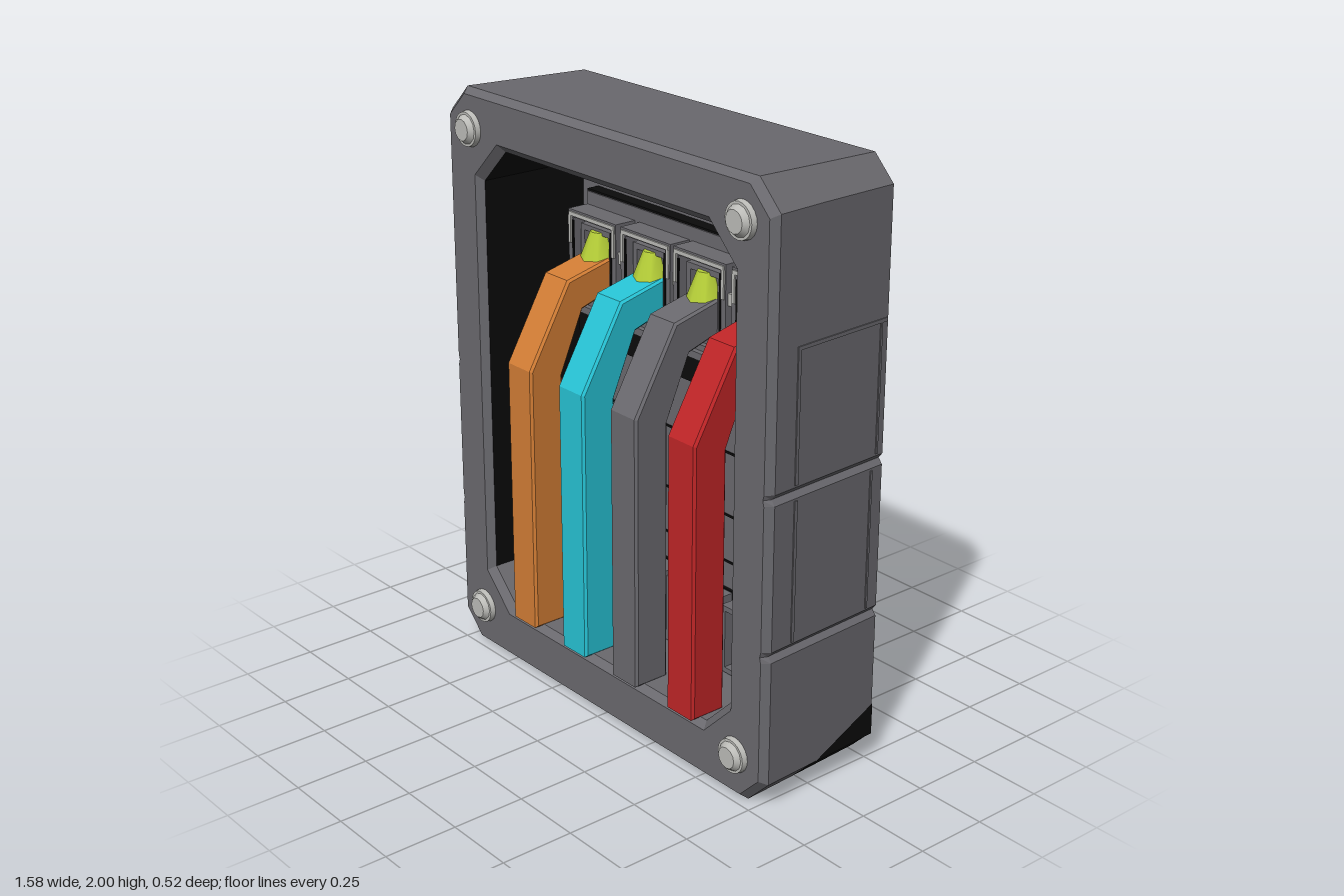
import * as THREE from 'three';

const mat = (name, color) => {
  const m = new THREE.MeshStandardMaterial({ color });
  m.name = name;
  return m;
};

export function createModel() {
  const model = new THREE.Group();
  const grey = mat('casing grey', 0x6a696e);
  const black = mat('black', 0x0b0b0b);
  const steel = mat('pale steel', 0xbcbcb8);
  const lime = mat('lime', 0xb6cf38);
  const orange = mat('orange', 0xd27d35);
  const cyan = mat('cyan', 0x27c3d5);
  const red = mat('red', 0xbf2527);

  const add = (name, geo, material, x = 0, y = 0, z = 0, parent = model) => {
    const m = new THREE.Mesh(geo, material);
    m.name = name;
    m.position.set(x, y, z);
    parent.add(m);
    return m;
  };
  // box given by its extents
  const box = (name, material, x0, x1, y0, y1, z0, z1, parent = model) =>
    add(name, new THREE.BoxGeometry(x1 - x0, y1 - y0, z1 - z0), material,
      (x0 + x1) / 2, (y0 + y1) / 2, (z0 + z1) / 2, parent);

  // Casing: chamfered rings lofted from the back, round the rim, into the recess
  const ring = (w, y0, y1, c, z, n = 0) => {
    const half = [[w - c, y0], [w, y0 + c]];
    for (const y of [0.53, 1.045]) half.push([w, y - 0.018], [w - n, y], [w, y + 0.018]);
    half.push([w, y1 - c], [w - c, y1]);
    const mirrored = half.map(([x, y]) => [-x, y]).reverse();
    return [...half, ...mirrored].map(([x, y]) => new THREE.Vector3(x, y, z));
  };
  const centre = z => Array.from({ length: 20 }, () => new THREE.Vector3(0, 1, z));
  const rings = [
    centre(-0.26),
    ring(0.765, 0.01, 1.987, 0.08, -0.26, 0.015),
    ring(0.78, 0.004, 1.995, 0.085, 0.03, 0.015),
    ring(0.79, 0, 2, 0.09, 0.205, 0.015),
    ring(0.77, 0.02, 1.98, 0.083, 0.23, 0.005),
    ring(0.64, 0.17, 1.845, 0.125, 0.23),
    ring(0.62, 0.19, 1.82, 0.12, 0.205),
    ring(0.62, 0.19, 1.82, 0.12, -0.2),
    centre(-0.2),
  ];
  const low = j => j === 0 || j >= 18; // underside and its two corners
  const isBlack = (i, j) => i === 0 || (i === 1 && low(j)) || (i === 6 && !low(j) && j !== 9);
  const pts = { grey: [], black: [] };
  for (let i = 0; i < rings.length - 1; i++) {
    for (let j = 0; j < 20; j++) {
      const k = (j + 1) % 20;
      const [a, b, c, d] = [rings[i][j], rings[i][k], rings[i + 1][k], rings[i + 1][j]];
      const list = pts[isBlack(i, j) ? 'black' : 'grey'];
      if (i > 0) list.push(a, b, c);
      if (i === 0) list.push(a, c, d);
      else if (i < rings.length - 2) list.push(a, c, d);
    }
  }
  const facets = list => {
    const g = new THREE.BufferGeometry().setFromPoints(list);
    g.computeVertexNormals();
    return g;
  };
  add('casing', facets(pts.grey), grey);
  add('casingBackAndLining', facets(pts.black), black);

  // dark lower rear corner
  add('darkCorner', facets([
    new THREE.Vector3(0.782, 0.09, 0.0), new THREE.Vector3(0.768, 0.09, -0.26),
    new THREE.Vector3(0.768, 0.2, -0.26)]), black);

  // Shallow ridges framing the side panels, following the taper
  for (const s of [-1, 1]) {
    const side = new THREE.Group();
    side.name = 'sidePanelRidges';
    side.position.set(s * 0.7785, 0, 0);
    side.rotation.y = s * 0.053;
    const t = 0.004;
    box('ridge', grey, -t, t, 1.07, 1.5, 0.112, 0.124, side);
    box('ridge', grey, -t, t, 0.555, 1.02, 0.112, 0.124, side);
    box('ridge', grey, -t, t, 1.49, 1.502, -0.255, 0.124, side);
    box('ridge', grey, -t, t, 1.07, 1.49, -0.235, -0.227, side);
    box('ridge', grey, -t, t, 0.555, 1.02, -0.215, -0.207, side);
    model.add(side);
  }

  // Corner screws
  for (const x of [-0.66, 0.66]) {
    for (const y of [0.15, 1.87]) {
      const screw = new THREE.Group();
      screw.name = 'screw';
      screw.position.set(x, y, 0.23);
      screw.rotation.x = Math.PI / 2;
      add('washer', new THREE.CylinderGeometry(0.057, 0.06, 0.018, 20), steel, 0, 0.009, 0, screw);
      add('head', new THREE.CylinderGeometry(0.036, 0.05, 0.018, 12), steel, 0, 0.026, 0, screw);
      model.add(screw);
    }
  }

  // Inner back plates
  box('upperPlate', grey, -0.535, 0.535, 1.22, 1.62, -0.2, -0.15);
  box('upperPlateShadowLine', black, -0.54, 0.54, 1.615, 1.627, -0.2, -0.155);
  box('gapBar', black, -0.535, 0.535, 1.12, 1.24, -0.2, -0.11);
  box('middlePanel', grey, -0.535, 0.535, 0.44, 1.13, -0.2, -0.13);
  for (const y of [0.535, 0.7, 0.92]) box('panelGroove', black, -0.53, 0.53, y - 0.004, y + 0.004, -0.132, -0.127);
  for (const s of [-1, 1]) box('panelEdge', black, s * 0.537 - 0.004, s * 0.537 + 0.004, 0.2, 1.13, -0.2, -0.126);
  box('lowerSocketBack', black, -0.535, 0.535, 0.19, 0.44, -0.2, -0.12);

  // Rectangular frame with a hole, extruded forward
  const frame = (w, h, wall, depth) => {
    const rect = (P, a, b) => new P([[-a, -b], [a, -b], [a, b], [-a, b]].map(p => new THREE.Vector2(...p)));
    const s = rect(THREE.Shape, w / 2, h / 2);
    s.holes.push(rect(THREE.Path, w / 2 - wall, h / 2 - wall));
    return new THREE.ExtrudeGeometry(s, { depth, bevelEnabled: false });
  };

  // Cable: bent side profile extruded across x
  const profile = [[0.24, 0.185], [0.24, 1.12], [0.08, 1.4], [-0.17, 1.46],
    [-0.17, 1.35], [0.02, 1.29], [0.11, 1.08], [0.11, 0.185]];
  const cableGeo = new THREE.ExtrudeGeometry(
    new THREE.Shape(profile.map(p => new THREE.Vector2(...p))),
    { depth: 0.114, bevelThickness: 0.008, bevelSize: 0.008, bevelOffset: -0.008, bevelSegments: 1 });
  cableGeo.rotateY(-Math.PI / 2).translate(0.057, 0, 0);

  const cables = [[-0.41, orange, 'orangeCable'], [-0.135, cyan, 'cyanCable'],
    [0.13, grey, 'greyCable'], [0.408, red, 'redCable']];
  cables.forEach(([x, material, name]) => {
    add(name, cableGeo, material, x);
    add('cableLug', new THREE.CylinderGeometry(0.03, 0.068, 0.1, 8), lime, x, 1.47, -0.1);

    // Upper terminal housing with pale trim
    const t = new THREE.Group();
    t.name = 'upperTerminal';
    t.position.set(x, 1.4, -0.16);
    add('housing', frame(0.25, 0.35, 0.025, 0.09), grey, 0, 0, 0, t);
    add('innerHousing', frame(0.17, 0.28, 0.02, 0.07), grey, 0, -0.01, 0, t);
    box('innerGap', black, -0.1, 0.1, -0.15, 0.15, 0.005, 0.02, t);
    box('clamp', grey, -0.055, 0.055, -0.13, 0.1, 0.01, 0.05, t);
    box('topTrim', steel, -0.118, 0.118, 0.155, 0.168, 0.088, 0.096, t);
    for (const s of [-1, 1]) {
      box('sideTrim', steel, s * 0.114 - 0.006, s * 0.114 + 0.006, 0.06, 0.155, 0.088, 0.096, t);
      box('slot', black, s * 0.1 - 0.004, s * 0.1 + 0.004, -0.16, 0.14, 0.088, 0.093, t);
    }
    model.add(t);

    // Lower terminal socket with fins
    const l = new THREE.Group();
    l.name = 'lowerTerminal';
    l.position.set(x, 0.315, -0.13);
    add('socket', frame(0.24, 0.24, 0.018, 0.09), grey, 0, 0, 0, l);
    for (const fx of [-0.08, -0.05, 0.05, 0.08]) box('fin', grey, fx - 0.008, fx + 0.008, -0.1, 0.085, 0, 0.07, l);
    model.add(l);
  });

  // Red strip along the back of the first cable, pale links between terminals
  box('redBackStrip', red, -0.39, -0.34, 0.19, 1.06, 0.095, 0.112);
  for (const x of [-0.272, 0, 0.27]) box('link', steel, x - 0.02, x + 0.02, 1.44, 1.48, -0.15, -0.08);

  return model;
}
